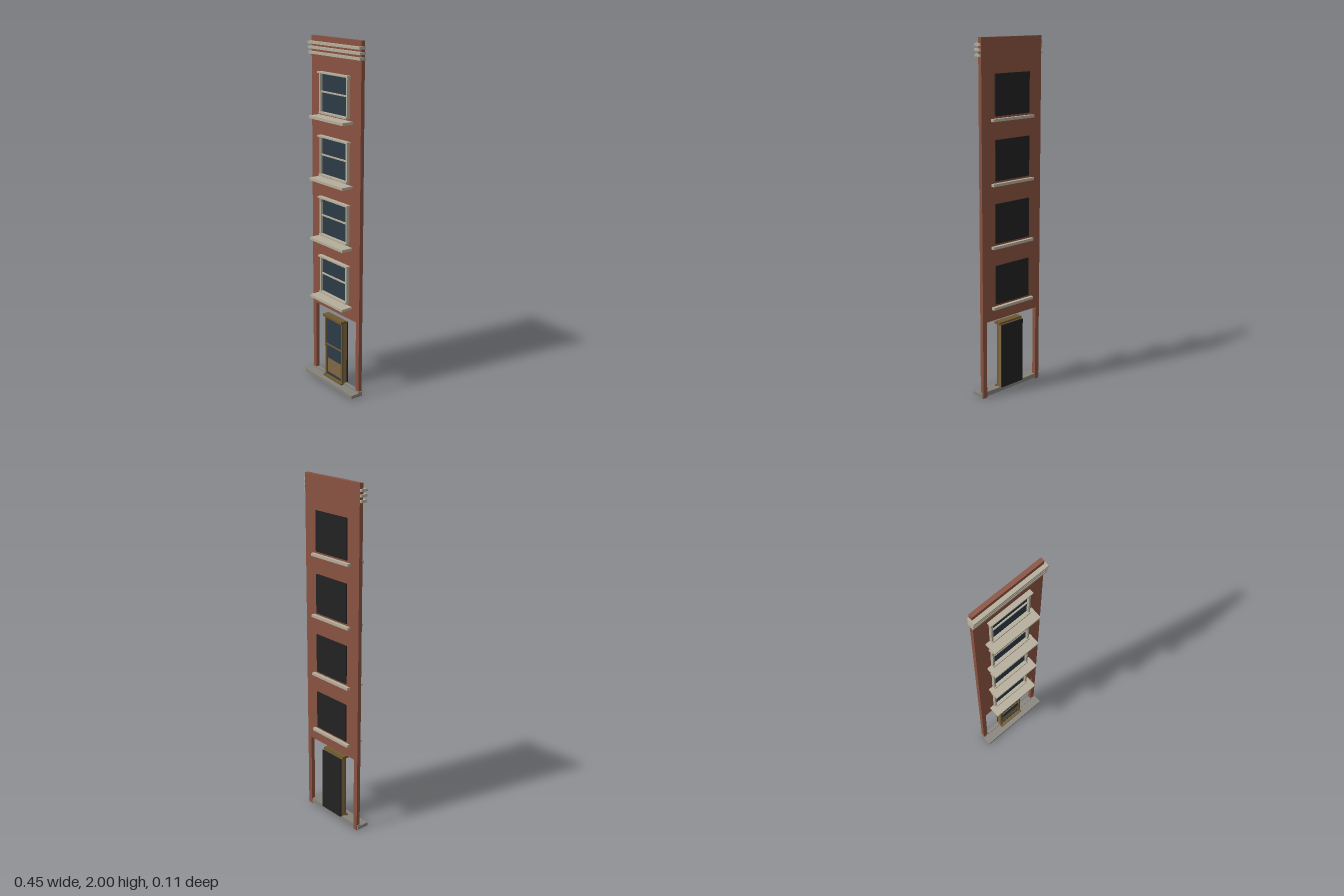
import * as THREE from 'three';

const mat = (name, color) => {
  const m = new THREE.MeshStandardMaterial({ color });
  m.name = name;
  return m;
};

export function createModel() {
  const brick = mat('brick', 0x8a5341);
  const stone = mat('pale stone', 0xb5ad9b);
  const step = mat('grey stone', 0x85827a);
  const glass = mat('dark glass', 0x2c3a46);
  const wood = mat('door wood', 0x806843);
  const trim = mat('door trim', 0x70592f);
  const black = mat('black backing', 0x222222);

  const model = new THREE.Group();
  model.name = 'townhouseFacade';

  // Box given by its limits on each axis
  const box = (parent, name, material, x0, x1, y0, y1, z0, z1) => {
    const mesh = new THREE.Mesh(new THREE.BoxGeometry(x1 - x0, y1 - y0, z1 - z0), material);
    mesh.position.set((x0 + x1) / 2, (y0 + y1) / 2, (z0 + z1) / 2);
    mesh.name = name;
    parent.add(mesh);
  };
  // Box centred on x = 0
  const bar = (parent, name, material, half, y0, y1, z0, z1) =>
    box(parent, name, material, -half, half, y0, y1, z0, z1);
  // Mirrored pair of uprights
  const pair = (parent, name, material, inner, outer, y0, y1, z0, z1) => {
    box(parent, name + 'Left', material, inner, outer, y0, y1, z0, z1);
    box(parent, name + 'Right', material, -outer, -inner, y0, y1, z0, z1);
  };
  const group = (name) => {
    const g = new THREE.Group();
    g.name = name;
    model.add(g);
    return g;
  };

  // Brick wall with the open shopfront bay cut from its foot
  const outline = new THREE.Shape();
  [[-0.216, 0], [-0.188, 0], [-0.188, 0.45], [0.188, 0.45], [0.188, 0], [0.216, 0], [0.216, 2], [-0.216, 2]]
    .forEach(([x, y], i) => (i ? outline.lineTo(x, y) : outline.moveTo(x, y)));
  const wall = new THREE.Mesh(
    new THREE.ExtrudeGeometry(outline, { depth: 0.023, bevelEnabled: false }), brick);
  wall.position.z = -0.038;
  wall.name = 'wall';
  model.add(wall);

  // Stone step along the ground
  const base = group('base');
  bar(base, 'baseSlab', step, 0.223, 0.006, 0.025, -0.035, 0.041);
  bar(base, 'baseKerb', step, 0.222, 0.025, 0.032, -0.035, -0.012);

  // Three cornice bands
  const cornice = group('cornice');
  [1.902, 1.93, 1.957].forEach((y, i) =>
    bar(cornice, 'corniceBand', stone, 0.226, y, y + 0.014, -0.037, 0.001 + i * 0.003));

  // Four sash windows, one per floor
  for (let i = 0; i < 4; i++) {
    const y = 0.515 + i * 0.349;
    const w = group('window' + (i + 1));
    bar(w, 'sill', stone, 0.15, y, y + 0.015, -0.058, 0.055);
    bar(w, 'bottomRail', stone, 0.124, y + 0.026, y + 0.036, -0.015, 0.01);
    pair(w, 'jamb', stone, 0.113, 0.124, y + 0.026, y + 0.25, -0.015, 0.004);
    bar(w, 'head', stone, 0.133, y + 0.244, y + 0.253, -0.015, 0.012);
    bar(w, 'meetingRail', stone, 0.113, y + 0.141, y + 0.149, -0.015, -0.002);
    bar(w, 'pane', glass, 0.113, y + 0.034, y + 0.246, -0.015, -0.01);
    bar(w, 'backing', black, 0.124, y + 0.027, y + 0.25, -0.045, -0.036);
  }

  // Glazed door standing in the bay
  const door = group('door');
  bar(door, 'doorBody', wood, 0.08, 0.03, 0.408, -0.036, -0.012);
  bar(door, 'doorBacking', black, 0.08, 0.03, 0.408, -0.045, -0.036);
  pair(door, 'doorJamb', trim, 0.07, 0.08, 0.03, 0.408, -0.012, 0);
  bar(door, 'doorHead', trim, 0.085, 0.405, 0.42, -0.03, 0.012);
  bar(door, 'doorSill', trim, 0.085, 0.025, 0.034, -0.03, 0.01);
  bar(door, 'doorPane', glass, 0.07, 0.143, 0.405, -0.012, -0.008);
  bar(door, 'doorGlazingBar', trim, 0.07, 0.227, 0.234, -0.012, -0.002);
  bar(door, 'doorFootPane', glass, 0.07, 0.036, 0.05, -0.012, -0.008);

  return model;
}
